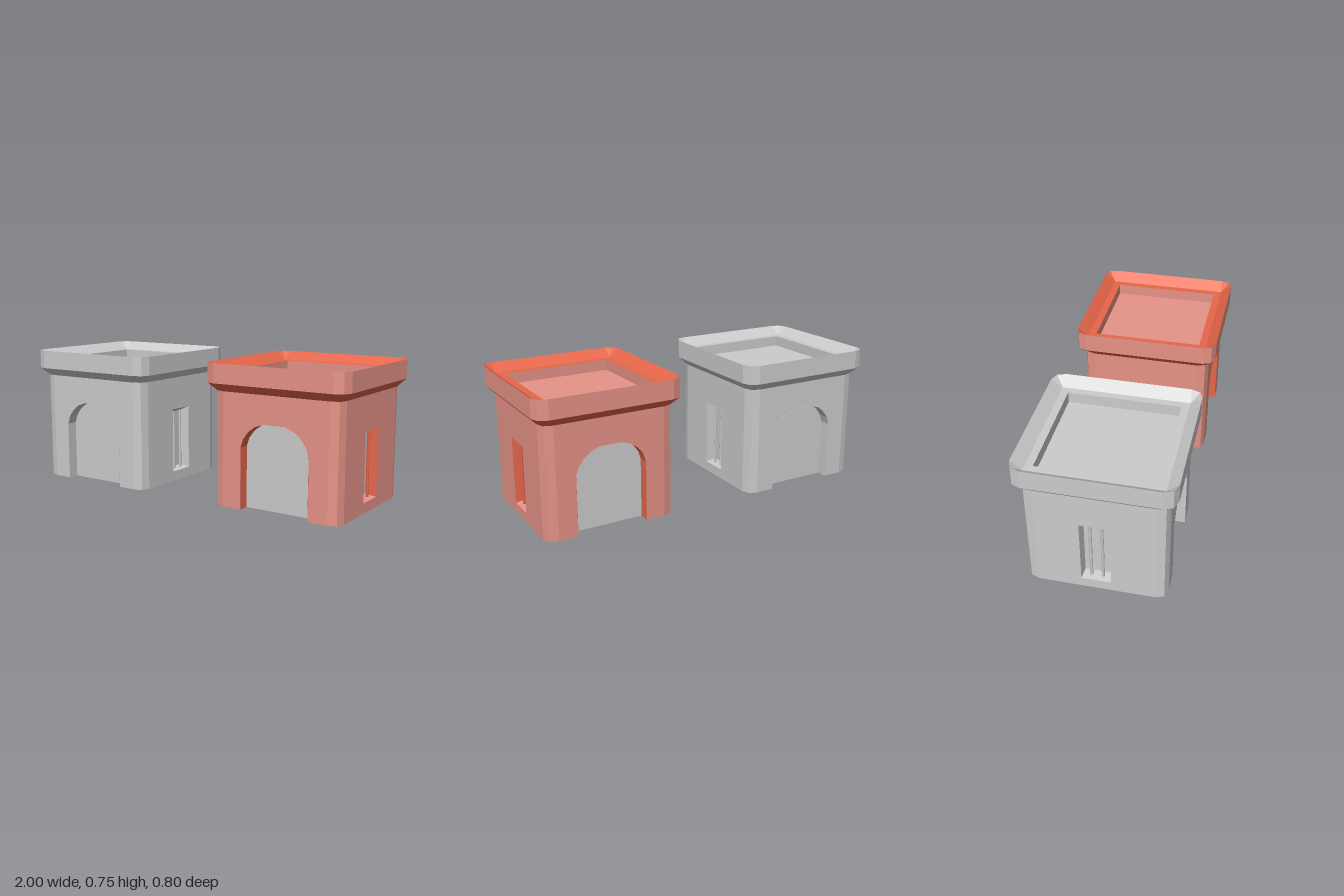
import * as THREE from 'three';

const BASE = 0.005, BODY_TOP = 0.61;

// Skin between successive rows of points; closed joins each row into a ring.
function loft(rows, closed) {
  const pos = [];
  for (let r = 0; r < rows.length - 1; r++) {
    const a = rows[r], b = rows[r + 1], n = a.length;
    for (let i = 0; i < (closed ? n : n - 1); i++) {
      const j = (i + 1) % n;
      pos.push(...a[i], ...a[j], ...b[j], ...a[i], ...b[j], ...b[i]);
    }
  }
  const g = new THREE.BufferGeometry();
  g.setAttribute('position', new THREE.Float32BufferAttribute(pos, 3));
  g.computeVertexNormals();
  return g;
}

// Square plan with softened corners: (a,h) (m,m) (h,a) turned four times.
function ring(h, m, a, y) {
  const pts = [];
  let corner = [[a, h], [m, m], [h, a]];
  for (let k = 0; k < 4; k++) {
    corner.forEach(([x, z]) => pts.push([x, y, z]));
    corner = corner.map(([x, z]) => [z, -x]);
  }
  return pts;
}
const square = (h, y) => ring(h, h, h, y);
const shapeOf = (pts) => new THREE.Shape(pts.map(([x, y]) => new THREE.Vector2(x, y)));

// Doorway outline, left foot over the top to right foot.
function archPoints(inset = 0) {
  const half = [[0.195, BASE], [0.195, 0.33], [0.18, 0.375], [0.15, 0.415], [0.11, 0.445], [0.06, 0.463]]
    .map(([x, y]) => [x - inset, y > 0.34 ? y - inset : y]);
  return [...half.map(([x, y]) => [-x, y]), ...half.reverse()];
}

function add(parent, name, geometry, material) {
  const mesh = new THREE.Mesh(geometry, material);
  mesh.name = name;
  parent.add(mesh);
  return mesh;
}

// Side wall facing +z, with a barred, tapered window
function sideWall(wall, trim, panel) {
  const g = new THREE.Group();
  g.name = 'sideWall';
  const rect = (w, y0, y1) => [[-w, y0], [w, y0], [w, y1], [-w, y1]];
  const outer = rect(0.077, 0.06, 0.427), inner = rect(0.069, 0.071, 0.4);
  const shape = shapeOf(rect(0.3, BASE, BODY_TOP));
  shape.holes.push(shapeOf(outer));
  add(g, 'wall', new THREE.ExtrudeGeometry(shape, { depth: 0.06, bevelEnabled: false }), wall).position.z = 0.3;

  ['windowSill', 'windowJamb', 'windowHead', 'windowJamb'].forEach((name, i) => {
    const j = (i + 1) % 4;
    const edge = (pts, z) => [[...pts[i], z], [...pts[j], z]];
    add(g, name, loft([edge(outer, 0.36), edge(inner, 0.302)], false), i % 2 ? trim : wall);
  });

  add(g, 'windowPanel', new THREE.PlaneGeometry(0.145, 0.345), panel).position.set(0, 0.2355, 0.303);
  for (const x of [-0.03, 0.03]) {
    add(g, 'windowBar', new THREE.CylinderGeometry(0.008, 0.008, 0.342, 6), trim).position.set(x, 0.238, 0.33);
  }
  return g;
}

function tower(wallColor, trimColor) {
  const mat = (color) => new THREE.MeshStandardMaterial({ color, side: THREE.DoubleSide });
  const wall = mat(wallColor), trim = mat(trimColor), panel = mat(0xcccccc);
  const g = new THREE.Group();

  // Core with the arched passage running front to back
  const core = shapeOf([[-0.3, BODY_TOP], [-0.3, BASE], ...archPoints(), [0.3, BASE], [0.3, BODY_TOP]]);
  add(g, 'body', new THREE.ExtrudeGeometry(core, { depth: 0.72, bevelEnabled: false }), wall).position.z = -0.36;
  const lining = archPoints(0.001);
  add(g, 'passageLining', loft([-0.36, 0.36].map((z) => lining.map(([x, y]) => [x, y, z])), false), trim);
  for (const z of [-0.3, 0.3]) {
    add(g, 'doorPanel', new THREE.ShapeGeometry(shapeOf(archPoints())), panel).position.z = z;
  }

  // Faceted corner posts
  const plan = shapeOf([[0.3, 0.3], [0.36, 0.3], [0.345, 0.345], [0.3, 0.36]]);
  for (let k = 0; k < 4; k++) {
    const post = new THREE.ExtrudeGeometry(plan, { depth: BODY_TOP - BASE, bevelEnabled: false });
    post.rotateX(-Math.PI / 2).translate(0, BASE, 0).rotateY((k * Math.PI) / 2);
    add(g, 'cornerPost', post, wall);
  }

  // Side walls
  for (const s of [-1, 1]) {
    const side = sideWall(wall, trim, panel);
    side.rotation.y = (s * Math.PI) / 2;
    g.add(side);
  }

  // Crown: flare, parapet, sloped inner rim with ledge, sunken roof
  const rim = (y) => ring(0.4, 0.382, 0.335, y);
  add(g, 'crownFlare', loft([ring(0.36, 0.345, 0.3, BODY_TOP), rim(0.652)], true), trim);
  add(g, 'parapet', loft([rim(0.652), rim(0.755)], true), wall);
  add(g, 'innerRim', loft([rim(0.755), square(0.34, 0.71), square(0.3, 0.71)], true), trim);
  add(g, 'roofRecess', loft([square(0.3, 0.71), square(0.3, 0.65)], true), wall);
  const roof = new THREE.PlaneGeometry(0.6, 0.6).rotateX(-Math.PI / 2).translate(0, 0.65, 0);
  add(g, 'roof', roof, wall);
  return g;
}

export function createModel() {
  const model = new THREE.Group();
  model.name = 'gateTowers';
  const plain = tower(0xcccccc, 0xcccccc);
  plain.name = 'greyTower';
  plain.position.x = -0.6;
  const red = tower(0xe69387, 0xe6664a);
  red.name = 'redTower';
  red.position.x = 0.6;
  model.add(plain, red);
  return model;
}
